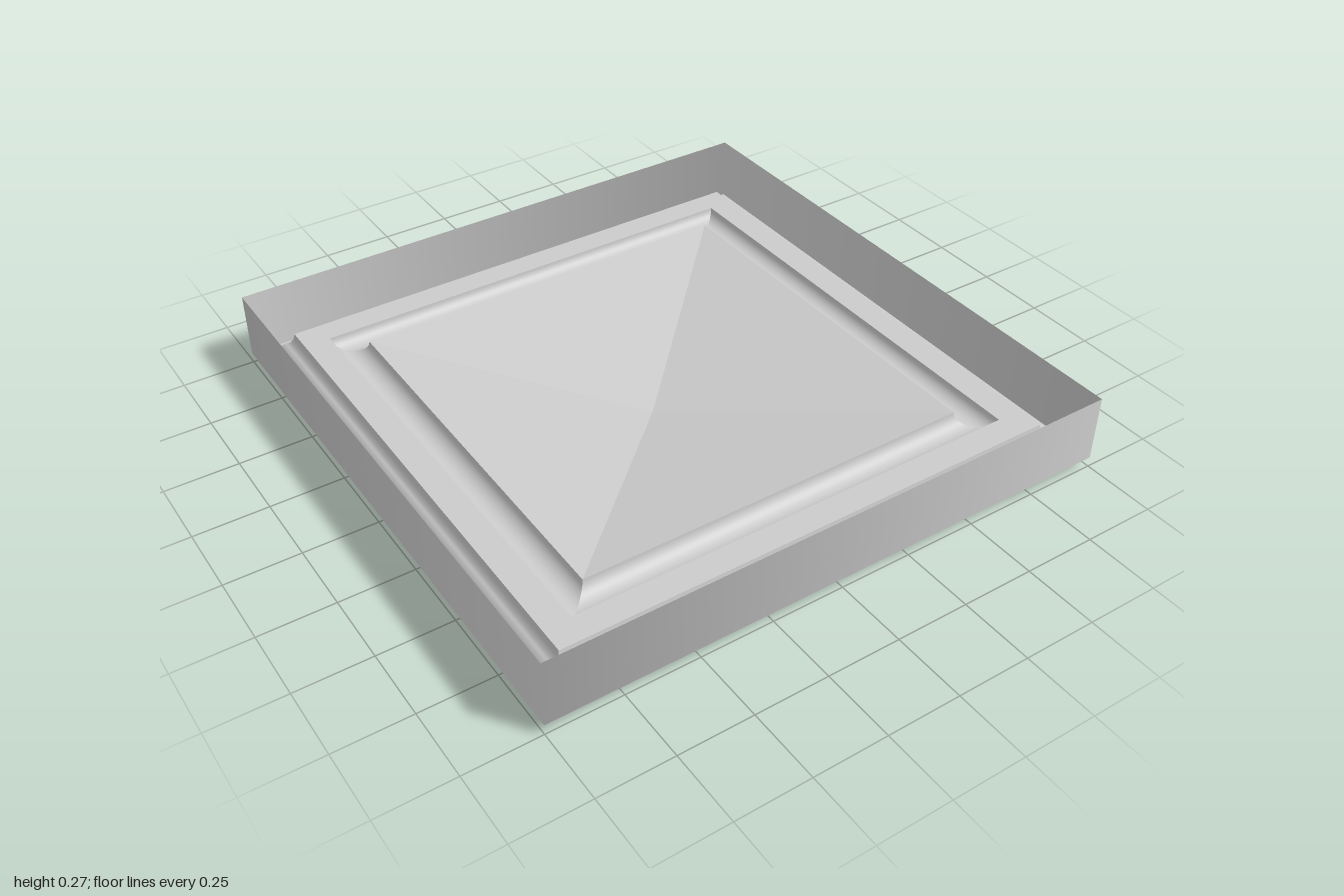
import * as THREE from 'three';

const material = new THREE.MeshStandardMaterial({ color: 0xcccccc, side: THREE.DoubleSide });

// One mitred side of a square ring: profile points are [half width, height].
// Normals stay smooth along the profile and break at the mitres.
function sideStrip(profile) {
  const positions = [], index = [];
  profile.forEach(([r, y], i) => {
    positions.push(-r, y, r, r, y, r);
    if (i === 0) return;
    const a = 2 * (i - 1), b = 2 * i;
    index.push(a, a + 1, b + 1);
    if (r > 0) index.push(a, b + 1, b);
  });
  const geometry = new THREE.BufferGeometry();
  geometry.setAttribute('position', new THREE.Float32BufferAttribute(positions, 3));
  geometry.setIndex(index);
  geometry.computeVertexNormals();
  return geometry;
}

function squareRing(name, profile) {
  const ring = new THREE.Group();
  ring.name = name;
  const geometry = sideStrip(profile);
  for (let i = 0; i < 4; i++) {
    const side = new THREE.Mesh(geometry, material);
    side.name = name + 'Side';
    side.rotation.y = i * Math.PI / 2;
    ring.add(side);
  }
  return ring;
}

export function createModel() {
  const model = new THREE.Group();
  model.name = 'squarePanel';

  const bottom = 0.035, top = 0.267, ledge = 0.14, rim = 0.147;

  // Thin upright wall, softly shaded around the corners
  const wallGeometry = new THREE.CylinderGeometry(
    Math.SQRT2, Math.SQRT2, top - bottom, 4, 1, true, Math.PI / 4);
  const wall = new THREE.Mesh(wallGeometry, material);
  wall.name = 'outerWall';
  wall.position.y = (top + bottom) / 2;
  model.add(wall);

  // Stepped moulding climbing from the foot of the wall to the ledge
  const moulding = new THREE.SplineCurve([
    [1, bottom], [0.975, 0.038], [0.95, 0.048], [0.93, 0.062], [0.922, 0.08],
    [0.91, 0.092], [0.897, 0.1], [0.885, 0.118], [0.88, ledge],
  ].map(([r, y]) => new THREE.Vector2(r, y)));
  model.add(squareRing('edgeMoulding', moulding.getPoints(24).map(p => [p.x, p.y])));

  // Flat ledge
  model.add(squareRing('ledge', [[0.88, ledge], [0.79, ledge]]));

  // Rounded groove around the centre
  const groove = [];
  for (let i = 0; i <= 16; i++) {
    const t = i / 16, a = t * Math.PI;
    groove.push([
      0.74 + 0.05 * Math.cos(a),
      THREE.MathUtils.lerp(ledge, rim, t) - 0.045 * Math.sin(a),
    ]);
  }
  model.add(squareRing('groove', groove));

  // Shallow centre pyramid pointing down
  model.add(squareRing('centrePyramid', [[0.69, rim], [0, 0]]));

  return model;
}
